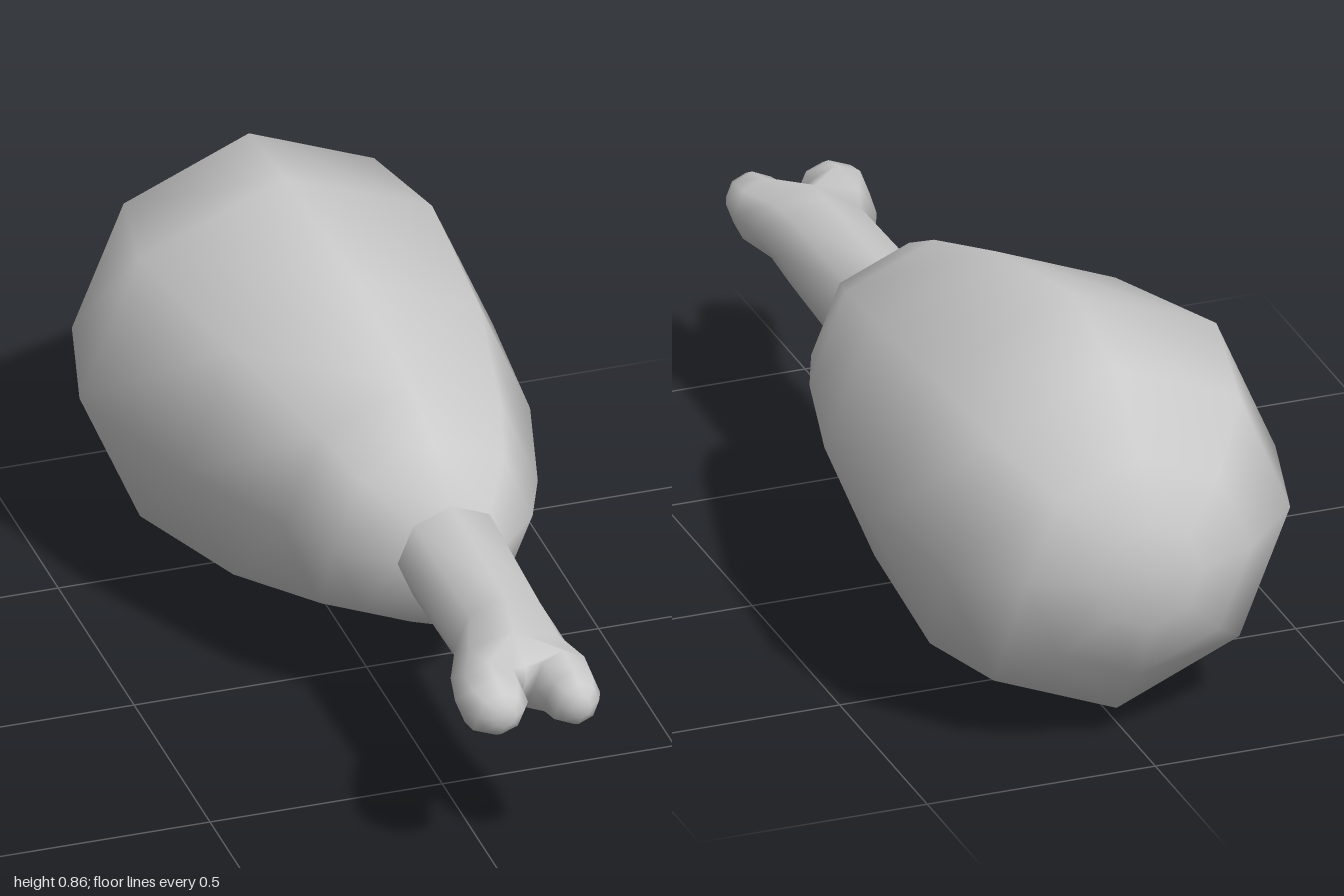
import * as THREE from 'three';
import { mergeVertices } from 'three/addons/utils/BufferGeometryUtils.js';

const SIDES = 8;
const MID = 0.435;

// Octagonal cross-section: z, centre x, half width, half height
const ring = ([z, cx, rx, ry], tilt = 0) =>
  Array.from({ length: SIDES }, (_, k) => {
    const a = (k / SIDES) * Math.PI * 2;
    return [cx + rx * Math.cos(a), MID + ry * Math.sin(a), z - tilt * rx * Math.cos(a)];
  });

// Skin consecutive rings (running towards +z) into a list of triangle corners
function loft(rings, out, capStart = false, capEnd = false) {
  for (let i = 0; i < rings.length - 1; i++) {
    for (let k = 0; k < SIDES; k++) {
      const n = (k + 1) % SIDES;
      const a = rings[i][k], b = rings[i][n], c = rings[i + 1][n], d = rings[i + 1][k];
      out.push(...a, ...b, ...d, ...b, ...c, ...d);
    }
  }
  const fan = (r, flip) => {
    const mid = [0, 1, 2].map((j) => r.reduce((s, p) => s + p[j], 0) / SIDES);
    for (let k = 0; k < SIDES; k++) {
      const n = (k + 1) % SIDES;
      out.push(...mid, ...r[flip ? n : k], ...r[flip ? k : n]);
    }
  };
  if (capStart) fan(rings[0], true);
  if (capEnd) fan(rings[rings.length - 1], false);
}

function smoothMesh(name, positions) {
  let geo = new THREE.BufferGeometry();
  geo.setAttribute('position', new THREE.Float32BufferAttribute(positions, 3));
  geo = mergeVertices(geo, 1e-4);
  geo.computeVertexNormals();
  const mesh = new THREE.Mesh(geo, new THREE.MeshStandardMaterial({ color: 0xcccccc }));
  mesh.name = name;
  return mesh;
}

export function createModel() {
  const group = new THREE.Group();
  group.name = 'drumstick';

  // Meat: a pear-shaped body, rounded at the back and narrowing to the bone
  const meat = [];
  loft([
    [-1.0, 0.01, 0.115, 0.115],
    [-0.94, 0.012, 0.247, 0.245],
    [-0.805, 0.01, 0.385, 0.385],
    [-0.53, 0, 0.449, 0.431],
    [-0.18, 0.037, 0.378, 0.376],
    [0.1, 0.063, 0.276, 0.28],
    [0.23, 0.068, 0.217, 0.215],
  ].map((r, i) => ring(r, i > 1 ? 0.03 : 0)).concat([ring([0.325, 0.077, 0.116, 0.116])]), meat, true, true);
  group.add(smoothMesh('meat', meat));

  // Bone shaft, flaring before it forks
  const bone = [];
  const fork = ring([0.8, 0.055, 0.135, 0.087]);
  loft([
    ring([0.325, 0.077, 0.116, 0.116]),
    ring([0.69, 0.073, 0.108, 0.105]),
    fork,
  ], bone);

  // Saddle between the two knuckles: top, middle, bottom
  const [st, sm, sb] = [0.04, 0, -0.04].map((dy) => [0.058, MID + dy, 0.87]);
  const f = fork;

  // Left knuckle, on the +x side
  loft([
    [f[0], f[1], f[2], st, sm, sb, f[6], f[7]],
    ring([0.89, 0.133, 0.064, 0.077]),
    ring([0.95, 0.135, 0.058, 0.064]),
    ring([0.98, 0.137, 0.044, 0.048]),
    ring([0.997, 0.138, 0.022, 0.026]),
  ], bone, false, true);

  // Right knuckle, on the -x side
  loft([
    [sm, st, f[2], f[3], f[4], f[5], f[6], sb],
    ring([0.89, -0.027, 0.073, 0.078]),
    ring([0.94, -0.028, 0.069, 0.066]),
    ring([0.97, -0.026, 0.05, 0.048]),
    ring([0.985, -0.024, 0.027, 0.026]),
  ], bone, false, true);
  group.add(smoothMesh('bone', bone));

  return group;
}
